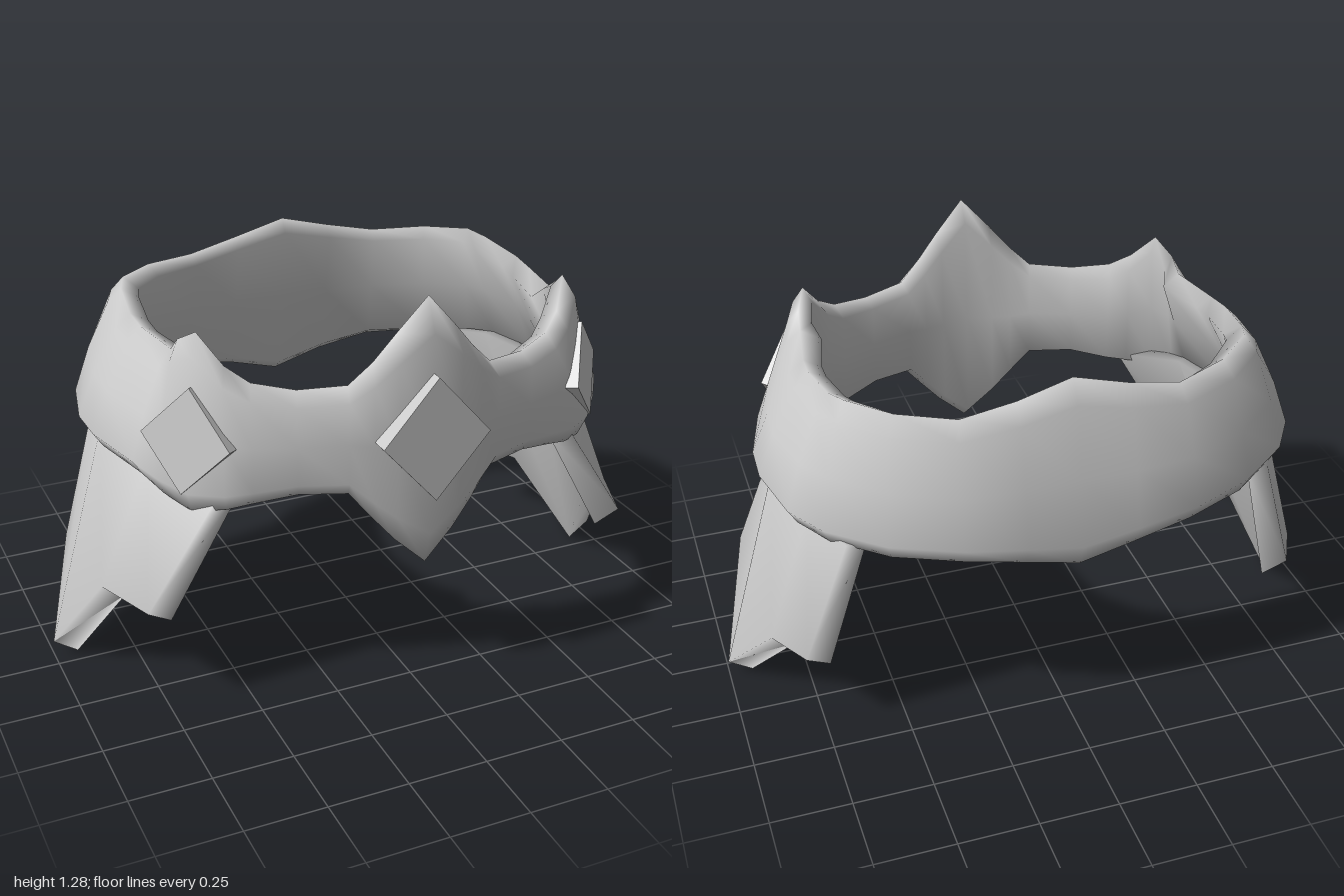
import * as THREE from 'three';

const material = new THREE.MeshStandardMaterial({ color: 0xcccccc });

// Skin a row of equal-length cross-sections; either closed into a ring or capped.
function loft(rings, closed) {
  const n = rings[0].length, m = rings.length, index = [];
  for (let i = 0; i < (closed ? m : m - 1); i++) {
    for (let j = 0; j < n; j++) {
      const i2 = (i + 1) % m, j2 = (j + 1) % n;
      const a = i * n + j, b = i * n + j2, c = i2 * n + j, d = i2 * n + j2;
      index.push(a, c, b, b, c, d);
    }
  }
  if (!closed) {
    const e = (m - 1) * n;
    for (let j = 1; j < n - 1; j++) index.push(0, j, j + 1, e, e + j + 1, e + j);
  }
  const geo = new THREE.BufferGeometry();
  geo.setAttribute('position', new THREE.Float32BufferAttribute(rings.flat(2), 3));
  geo.setIndex(index);
  geo.computeVertexNormals();
  return geo;
}

function mesh(name, geo) {
  const part = new THREE.Mesh(geo, material);
  part.name = name;
  return part;
}

// Band stations from front centre round to back centre:
// outer x, outer z, bottom y, top y, inward lean, thickness
const STATIONS = [
  [0, 0.61, 0.455, 1.295, 0, 0.09],
  [0.1, 0.597, 0.545, 1.19, 0, 0.09],
  [0.17, 0.585, 0.625, 1.11, 0, 0.09],
  [0.24, 0.565, 0.71, 1.045, 0, 0.09],
  [0.38, 0.52, 0.715, 1.035, 0.01, 0.09],
  [0.5, 0.475, 0.69, 1.055, 0.03, 0.1],
  [0.58, 0.45, 0.675, 1.1, 0.07, 0.1],
  [0.67, 0.388, 0.66, 1.187, 0.11, 0.08],
  [0.735, 0.315, 0.7, 1.145, 0.15, 0.09],
  [0.785, 0.24, 0.745, 1.1, 0.19, 0.11],
  [0.84, 0.02, 0.75, 1.105, 0.22, 0.1],
  [0.845, -0.12, 0.75, 1.115, 0.22, 0.1],
  [0.8, -0.33, 0.745, 1.135, 0.2, 0.1],
  [0.72, -0.45, 0.735, 1.147, 0.17, 0.1],
  [0.56, -0.565, 0.72, 1.14, 0.14, 0.09],
  [0.36, -0.64, 0.71, 1.13, 0.13, 0.075],
  [0.17, -0.655, 0.675, 1.165, 0.13, 0.07],
  [0, -0.65, 0.63, 1.21, 0.13, 0.07],
];

// Band: rounded section, leaning inwards towards the top
function bandGeometry() {
  const mirrored = STATIONS.slice(1, -1).reverse().map(([x, ...rest]) => [-x, ...rest]);
  const all = [...STATIONS, ...mirrored];
  const rings = all.map(([x, z, bottom, top, lean, t], i) => {
    const p = all[(i + all.length - 1) % all.length], q = all[(i + 1) % all.length];
    const out = new THREE.Vector2(p[1] - q[1], q[0] - p[0]).normalize();
    const section = [
      [-0.03, 0], [0, 0.13], [-0.25 * lean, 0.5], [-0.6 * lean, 0.88],
      [-0.6 * lean - 0.045, 1], [-0.6 * lean - t, 0.92],
      [-0.3 * lean - t, 0.5], [-t, 0.06],
    ];
    return section.map(([u, v]) => [x + out.x * u, bottom + (top - bottom) * v, z + out.y * u]);
  });
  return loft(rings, true);
}

// Side plate columns, front to back: top point, then bottom point
const PLATE = [
  [[0.575, 0.73, 0.41], [0.81, 0.37, 0.4]],
  [[0.72, 0.78, 0.2], [0.89, 0.37, 0.19]],
  [[0.795, 0.78, -0.06], [1.0, 0.06, -0.055]],
  [[0.74, 0.78, -0.32], [0.88, 0.31, -0.285]],
  [[0.665, 0.75, -0.485], [0.8, 0.32, -0.435]],
];

function plateGeometry(side) {
  const rings = PLATE.map(([[tx, ty, tz], [bx, by, bz]]) => [
    [bx * side, by, bz], [tx * side, ty, tz],
    [(tx - 0.06) * side, ty - 0.02, tz * 0.97], [(bx - 0.075) * side, by - 0.05, bz * 0.95],
  ]);
  if (side < 0) rings.reverse();
  return loft(rings, false);
}

// Flat diamond plaque facing +z, its front face at z = 0
function diamondGeometry(w, h, depth) {
  const shape = new THREE.Shape([[w, 0], [0, h], [-w, 0], [0, -h]].map(([x, y]) => new THREE.Vector2(x, y)));
  return new THREE.ExtrudeGeometry(shape, { depth, bevelEnabled: false }).translate(0, 0, -depth);
}

export function createModel() {
  const model = new THREE.Group();
  model.name = 'armouredBelt';
  model.add(mesh('band', bandGeometry()));

  const buckle = mesh('frontDiamond', diamondGeometry(0.17, 0.193, 0.06));
  buckle.position.set(0, 0.883, 0.645);
  model.add(buckle);

  for (const [side, label] of [[1, 'left'], [-1, 'right']]) {
    model.add(mesh(label + 'HipPlate', plateGeometry(side)));
    const gem = mesh(label + 'Diamond', diamondGeometry(0.145, 0.16, 0.04));
    gem.position.set(side * 0.665, 0.887, 0.37);
    gem.rotation.set(-0.14, side * 0.84, side * 0.05, 'YXZ');
    model.add(gem);
  }
  return model;
}
